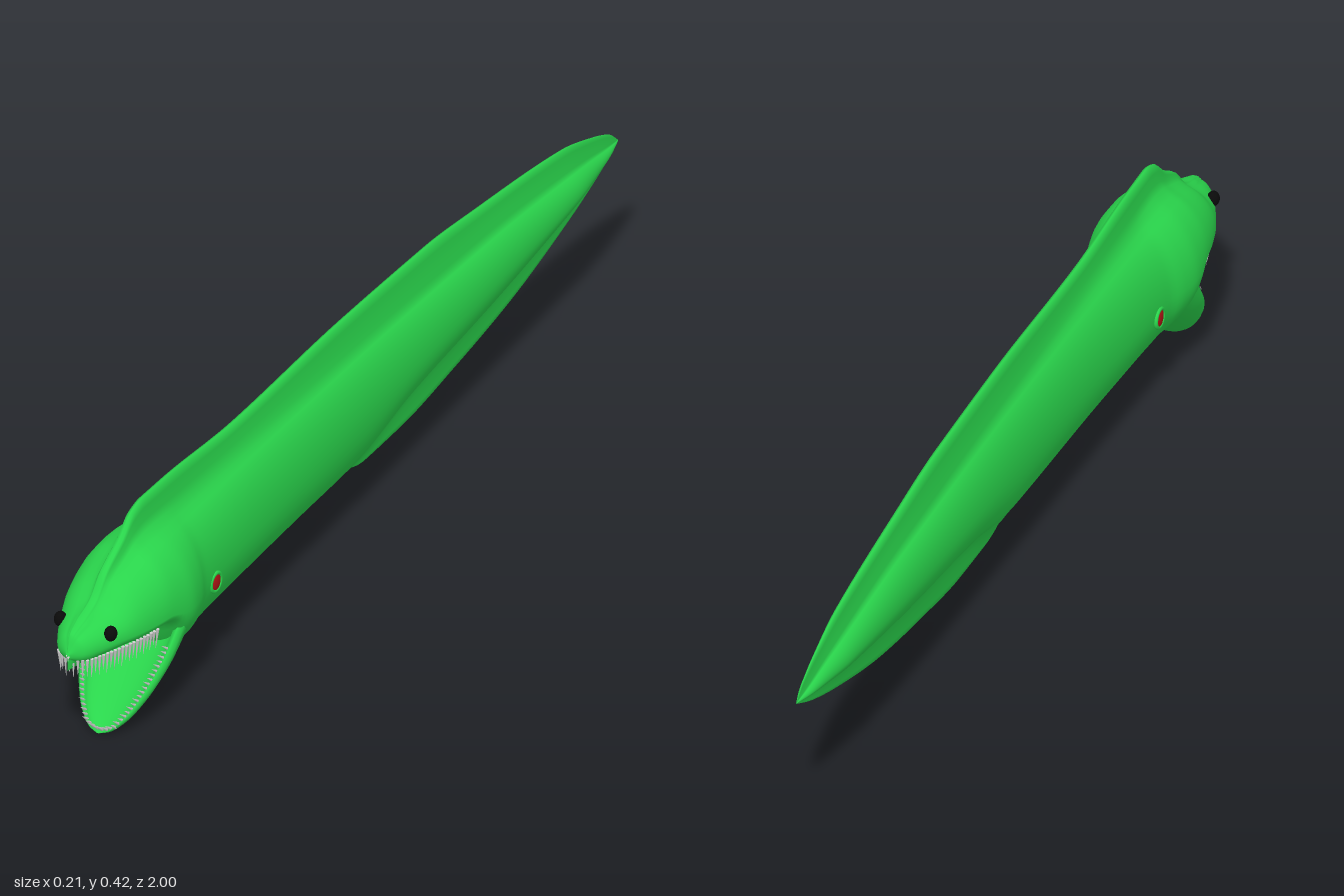
import * as THREE from 'three';

// Smooth monotone curve through [position, value] keys
function keyed(keys) {
  const n = keys.length;
  const slope = i => (keys[i + 1][1] - keys[i][1]) / (keys[i + 1][0] - keys[i][0]);
  const tangent = i => {
    if (i === 0) return slope(0);
    if (i === n - 1) return slope(n - 2);
    const a = slope(i - 1), b = slope(i);
    return a * b <= 0 ? 0 : 2 * a * b / (a + b);
  };
  return x => {
    let i = 0;
    while (i < n - 2 && x > keys[i + 1][0]) i++;
    const h = keys[i + 1][0] - keys[i][0];
    const t = Math.min(1, Math.max(0, (x - keys[i][0]) / h)), t2 = t * t, t3 = t2 * t;
    return (2 * t3 - 3 * t2 + 1) * keys[i][1] + (t3 - 2 * t2 + t) * h * tangent(i)
      + (3 * t2 - 2 * t3) * keys[i + 1][1] + (t3 - t2) * h * tangent(i + 1);
  };
}

// Skin over closed rings of points, each running anticlockwise seen from the far end
function loft(rings) {
  const m = rings[0].length, index = [];
  for (let i = 0; i < rings.length - 1; i++) {
    for (let j = 0; j < m; j++) {
      const a = i * m + j, b = i * m + (j + 1) % m;
      index.push(a, b, a + m, b, b + m, a + m);
    }
  }
  const g = new THREE.BufferGeometry();
  g.setAttribute('position', new THREE.Float32BufferAttribute(rings.flat(2), 3));
  g.setIndex(index);
  g.computeVertexNormals();
  return g;
}

// Body outlines along z
const finTop = keyed([[-1, .292], [-.97, .318], [-.9, .347], [-.8, .375], [-.5, .41], [-.3, .427], [0, .43], [.4, .418],
  [.65, .43], [.73, .43], [.77, .42], [.81, .385], [.87, .345], [.91, .302], [.96, .282], [.985, .27], [1, .24]]);
const fleshTop = keyed([[-1, .291], [-.8, .325], [-.5, .35], [0, .36], [.6, .36], [.73, .365], [.78, .36],
  [.81, .35], [.87, .327], [.91, .294], [.96, .277], [.985, .266], [1, .238]]);
const middle = keyed([[-1, .29], [-.5, .27], [0, .24], [.6, .22], [.74, .225], [.8, .24], [.9, .24], [1, .235]]);
const fleshBottom = keyed([[-1, .289], [-.8, .25], [-.5, .2], [-.2, .16], [0, .117], [.2, .11], [.6, .105],
  [.7, .112], [.74, .13], [.78, .2], [.82, .207], [.97, .208], [1, .225]]);
const finBottom = keyed([[-1, .288], [-.93, .255], [-.8, .21], [-.6, .155], [-.4, .12], [-.2, .095], [-.07, .093], [0, .113], [.04, .2]]);
const halfWidth = keyed([[-1, .001], [-.95, .014], [-.9, .022], [-.8, .035], [-.5, .047], [0, .055], [.3, .063], [.5, .073],
  [.64, .085], [.68, .098], [.73, .107], [.8, .1], [.86, .087], [.92, .064], [.96, .045], [.985, .029], [1, .004]]);

// Flesh oval with a thin fin ridge above and below
function bodyRing(z) {
  const w = halfWidth(z), mid = middle(z), top = fleshTop(z), bottom = fleshBottom(z);
  const crest = finTop(z), keel = Math.min(finBottom(z), bottom - .001);
  const f = Math.min(.01, w * .2);
  const fin = [[1.6, .1], [1, .35], [.9, .75], [.6, .95]];
  const half = [];
  for (const [x, t] of [...fin].reverse()) half.push([f * x, bottom + (keel - bottom) * t]);
  for (let a = -72; a <= 72; a += 9) {
    const r = a * Math.PI / 180;
    half.push([w * Math.cos(r), mid + (a < 0 ? mid - bottom : top - mid) * Math.sin(r)]);
  }
  for (const [x, t] of fin) half.push([f * x, top + (crest - top) * t]);
  const left = half.map(([x, y]) => [-x, y]).reverse();
  return [[0, keel], ...half, [0, crest], ...left].map(([x, y]) => [x, y, z]);
}

// Lower jaw: a trough that hangs open from the cheeks
const jawBack = new THREE.Vector3(0, .21, .735), jawTip = new THREE.Vector3(0, .012, .892);
const jawDir = jawTip.clone().sub(jawBack).normalize();
const jawUp = new THREE.Vector3(0, jawDir.z, -jawDir.y);
const jawWidth = keyed([[0, .1], [.3, .094], [.55, .08], [.8, .055], [.9, .038], [.97, .02], [1, .002]]);
const jawDepth = keyed([[0, .09], [.3, .068], [.6, .052], [.85, .035], [.95, .022], [1, .003]]);

function jawPoint(s, x, up) {
  return jawBack.clone().lerp(jawTip, s).addScaledVector(jawUp, up).add(new THREE.Vector3(x, 0, 0));
}

function jawRing(s) {
  const w = jawWidth(s), d = jawDepth(s), steps = 16, ring = [];
  for (let i = 0; i <= steps; i++) {
    const a = Math.PI * i / steps;
    ring.push([-w * Math.cos(a), -d * Math.sin(a)]);
  }
  ring.push([w * .92, d * .08]);
  for (let i = 0; i <= steps; i++) {
    const a = Math.PI * i / steps;
    ring.push([w * .82 * Math.cos(a), -d * .5 * Math.sin(a)]);
  }
  ring.push([-w * .92, d * .08]);
  return ring.map(([x, y]) => jawPoint(s, x, y).toArray());
}

export function createModel() {
  const model = new THREE.Group();
  const paint = color => new THREE.MeshStandardMaterial({ color });
  const green = paint(0x2ad64c), black = paint(0x0a0a0a), red = paint(0xb01515), grey = paint(0xcccccc);
  green.side = THREE.DoubleSide;
  const add = (name, geometry, material, parent = model) => {
    const mesh = new THREE.Mesh(geometry, material);
    mesh.name = name;
    parent.add(mesh);
    return mesh;
  };

  // Body with head and fins
  const bodyRings = [];
  for (let i = 0; i <= 200; i++) bodyRings.push(bodyRing(-Math.cos(Math.PI * i / 200)));
  add('body', loft(bodyRings), green);

  // Jaw
  const jawRings = [];
  for (let i = 0; i <= 40; i++) jawRings.push(jawRing(Math.sin(Math.PI / 2 * i / 40)));
  add('lowerJaw', loft(jawRings), green);

  // Tongue at the back of the mouth
  const tongue = add('tongue', new THREE.SphereGeometry(1, 24, 16), green);
  tongue.scale.set(.028, .02, .03);
  tongue.position.set(0, .168, .765);

  // Teeth spaced along each jaw edge
  const toothRow = (name, points, count, length, direction) => {
    const row = new THREE.Group();
    row.name = name;
    const cone = new THREE.ConeGeometry(.0035, length, 6);
    cone.translate(0, length / 2 - .004, 0);
    new THREE.CatmullRomCurve3(points).getSpacedPoints(count - 1).forEach((p, i) => {
      const tooth = add('tooth', cone, grey, row);
      tooth.position.copy(p);
      const aim = direction.clone();
      aim.x -= p.x * 1.5;
      tooth.quaternion.setFromUnitVectors(new THREE.Vector3(0, 1, 0), aim.normalize());
      tooth.scale.y = i % 2 ? .8 : 1;
    });
    model.add(row);
  };
  const mirrored = side => [...side, ...side.slice(0, -1).reverse().map(p => new THREE.Vector3(-p.x, p.y, p.z))];
  const upperEdge = [.82, .86, .9, .93, .96, .978].map(z => new THREE.Vector3(halfWidth(z) * .88, .218, z));
  upperEdge.push(new THREE.Vector3(0, .218, .988));
  const lowerEdge = [.27, .4, .55, .7, .8, .88, .93].map(s => jawPoint(s, jawWidth(s) * .87, 0));
  lowerEdge.push(jawPoint(.965, 0, 0));
  toothRow('upperTeeth', mirrored(upperEdge), 46, .045, new THREE.Vector3(0, -1, -.05));
  toothRow('lowerTeeth', mirrored(lowerEdge), 46, .03, jawUp);

  // Eyes and gill openings on both sides
  for (const [side, s] of [['left', 1], ['right', -1]]) {
    const eye = add(side + 'Eye', new THREE.SphereGeometry(1, 24, 16), black);
    eye.scale.set(.012, .015, .013);
    eye.position.set(s * .053, .262, .935);

    const gill = add(side + 'Gill', new THREE.SphereGeometry(1, 24, 16), red);
    gill.scale.set(.005, .018, .016);
    gill.position.set(s * .08, .206, .6);
    const rim = add(side + 'GillRim', new THREE.TorusGeometry(.018, .004, 10, 32), green);
    rim.rotation.y = Math.PI / 2;
    rim.position.set(s * .08, .206, .6);
  }
  return model;
}
